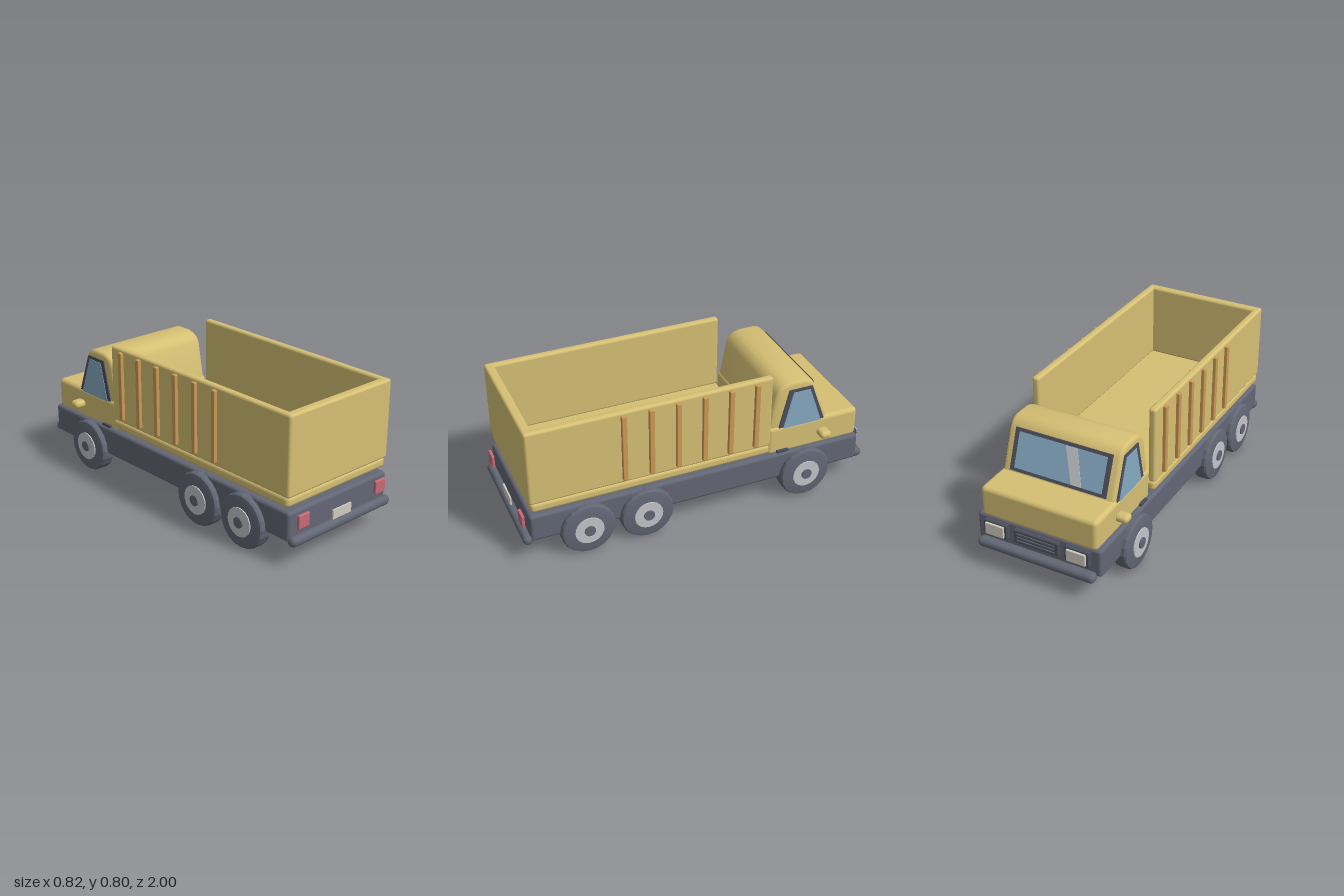
import * as THREE from 'three';
import { RoundedBoxGeometry } from 'three/addons/geometries/RoundedBoxGeometry.js';
import { toCreasedNormals } from 'three/addons/utils/BufferGeometryUtils.js';

const paint = (name, color) => {
  const m = new THREE.MeshStandardMaterial({ color });
  m.name = name;
  return m;
};

export function createModel() {
  const truck = new THREE.Group();
  truck.name = 'tipperTruck';
  const yellow = paint('yellowPaint', 0xd6c074);
  const slate = paint('slateGrey', 0x636775);
  const dark = paint('darkTrim', 0x4c505c);
  const orange = paint('orangeRib', 0xcd9a55);
  const glass = paint('blueGlass', 0x86a9c1);
  const red = paint('redLamp', 0xc66b78);
  const silver = paint('silverHub', 0xc2c5ca);
  const pale = paint('paleLens', 0xd0ccc0);

  const add = (name, geometry, material, parent = truck) => {
    const mesh = new THREE.Mesh(geometry, material);
    mesh.name = name;
    parent.add(mesh);
    return mesh;
  };
  // Box given by its lower and upper limits, with optional rounding
  const block = (name, material, [x0, x1], [y0, y1], [z0, z1], r = 0) => {
    const s = [x1 - x0, y1 - y0, z1 - z0];
    const g = r ? new RoundedBoxGeometry(...s, 3, r) : new THREE.BoxGeometry(...s);
    const mesh = add(name, g, material);
    mesh.position.set((x0 + x1) / 2, (y0 + y1) / 2, (z0 + z1) / 2);
    return mesh;
  };
  const span = (side, a, b) => (side > 0 ? [a, b] : [-b, -a]);
  // Side outline in (-z, y), extruded across x and centred on x = 0
  const sideExtrude = (points, width, bevel = 0) => {
    const shape = new THREE.Shape(points.map(([x, y]) => new THREE.Vector2(x, y)));
    const g = new THREE.ExtrudeGeometry(shape, {
      depth: width - 2 * bevel, bevelEnabled: bevel > 0, bevelSize: bevel,
      bevelThickness: bevel, bevelOffset: -bevel, bevelSegments: 3,
    });
    g.translate(0, 0, bevel - width / 2).rotateY(Math.PI / 2);
    return toCreasedNormals(g, 0.7);
  };

  // Chassis and bumpers
  block('chassis', slate, [-0.36, 0.36], [0.135, 0.296], [-0.947, 0.96], 0.018);
  block('rearBumper', slate, [-0.363, 0.363], [0.117, 0.17], [0.948, 1], 0.024);
  block('frontBumper', slate, [-0.34, 0.34], [0.117, 0.17], [-1, -0.94], 0.024);

  // Load bed: floor, two sides and tailgate, open towards the cab
  block('bedFloor', yellow, [-0.362, 0.362], [0.315, 0.375], [-0.395, 0.95], 0.022);
  block('tailgate', yellow, [-0.364, 0.364], [0.37, 0.803], [0.905, 0.957], 0.015);
  for (const s of [-1, 1]) {
    block('bedSide', yellow, span(s, 0.322, 0.364), [0.37, 0.803], [-0.395, 0.955], 0.015);
    for (let i = 0; i < 6; i++) {
      const z = 0.442 - i * 0.1485;
      block('bedRib', orange, span(s, 0.355, 0.383), [0.395, 0.786], [z - 0.014, z + 0.014], 0.005);
    }
  }

  // Cab: lower body with bonnet, and the tapered cabin
  block('cabBody', yellow, [-0.335, 0.335], [0.28, 0.456], [-0.945, -0.395], 0.025);
  add('cabin', sideExtrude([
    [0.395, 0.4], [0.775, 0.4], [0.755, 0.455], [0.676, 0.662], [0.66, 0.688], [0.637, 0.706],
    [0.61, 0.714], [0.525, 0.714], [0.49, 0.706], [0.46, 0.688], [0.44, 0.655],
  ], 0.65, 0.02), yellow);

  // Side windows and door mirrors
  const frameOutline = [[0.455, 0.43], [0.74, 0.43], [0.65, 0.672], [0.513, 0.672]];
  const glassOutline = [[0.482, 0.43], [0.718, 0.43], [0.637, 0.655], [0.537, 0.655]];
  for (const s of [-1, 1]) {
    add('sideWindowFrame', sideExtrude(frameOutline, 0.009), dark).position.x = s * 0.3265;
    add('sideWindow', sideExtrude(glassOutline, 0.009), glass).position.x = s * 0.329;
    block('doorMirror', yellow, span(s, 0.32, 0.397), [0.343, 0.387], [-0.757, -0.692], 0.021);
    block('cabStep', dark, span(s, 0.325, 0.35), [0.29, 0.308], [-0.515, -0.448]);
  }

  // Windscreen with its frame and a reflected streak
  const screen = new THREE.Group();
  screen.name = 'windscreen';
  screen.position.set(0, 0.568, -0.711);
  screen.rotation.x = Math.atan2(0.079, 0.207);
  truck.add(screen);
  add('windscreenFrame', new THREE.BoxGeometry(0.56, 0.225, 0.009), dark, screen).position.z = -0.003;
  add('windscreenGlass', new THREE.BoxGeometry(0.508, 0.19, 0.009), glass, screen).position.z = -0.006;
  const streak = new THREE.Shape([[-0.14, -0.094], [-0.08, -0.094], [-0.018, 0.094], [-0.085, 0.094]]
    .map(([x, y]) => new THREE.Vector2(x, y)));
  add('glassStreak', new THREE.ExtrudeGeometry(streak, { depth: 0.003, bevelEnabled: false }), silver, screen)
    .position.z = -0.0125;

  // Grille with slats, headlights, tail lights and number plate
  block('grille', dark, [-0.13, 0.13], [0.2, 0.278], [-0.972, -0.94], 0.006);
  for (let i = 0; i < 3; i++) {
    const y = 0.219 + i * 0.02;
    block('grilleSlat', slate, [-0.11, 0.11], [y - 0.004, y + 0.004], [-0.977, -0.97]);
  }
  for (const s of [-1, 1]) {
    block('headlightFrame', dark, span(s, 0.168, 0.305), [0.198, 0.286], [-0.976, -0.94], 0.006);
    block('headlight', pale, span(s, 0.182, 0.291), [0.208, 0.276], [-0.987, -0.972], 0.004);
    block('tailLight', red, span(s, 0.245, 0.32), [0.207, 0.281], [0.975, 0.992], 0.005);
  }
  block('numberPlate', pale, [-0.067, 0.067], [0.173, 0.224], [0.976, 0.985]);

  // Wheels: faceted tyre, hub and centre cap, with the axle along x
  const lathe = (pts) => toCreasedNormals(
    new THREE.LatheGeometry(pts.map(([r, h]) => new THREE.Vector2(r, h)), 20), 0.25);
  const tyre = lathe([[0, 0], [0.148, 0], [0.148, 0.06], [0.142, 0.07], [0.115, 0.076], [0, 0.076]]);
  const hub = lathe([[0, 0.05], [0.08, 0.05], [0.08, 0.082], [0, 0.082]]);
  const cap = lathe([[0, 0.05], [0.03, 0.05], [0.03, 0.09], [0, 0.09]]);
  for (const z of [0.657, 0.327, -0.609]) {
    for (const s of [-1, 1]) {
      const wheel = new THREE.Group();
      wheel.name = 'wheel';
      wheel.position.set(s * 0.32, 0.148, z);
      wheel.rotation.z = -s * Math.PI / 2;
      add('tyre', tyre, slate, wheel);
      add('hub', hub, silver, wheel);
      add('hubCap', cap, slate, wheel);
      truck.add(wheel);
    }
  }
  return truck;
}
